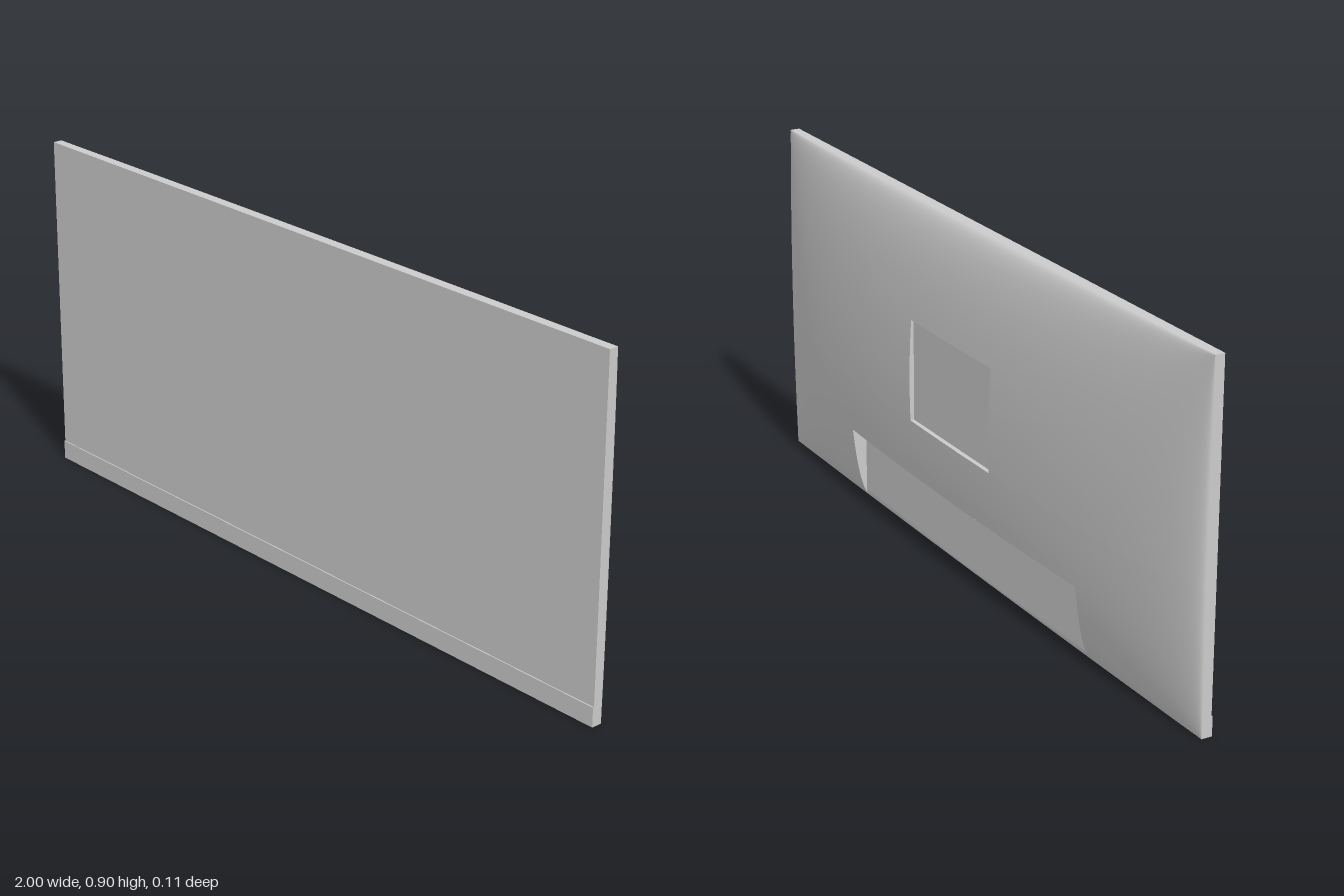
import * as THREE from 'three';

const W = 1, H = 0.45, BACK = 0.027, DEPTH = 0.079;
const bay = { x: 0.555, y0: 0, y1: 0.2, z: 0.012 };         // lower connector bay
const mount = { x: 0.195, y0: 0.355, y1: 0.62, z: -0.038 };  // mounting plate pocket

const grey = new THREE.MeshStandardMaterial({ color: 0xcccccc });
const shell = new THREE.MeshStandardMaterial({ color: 0xcccccc, side: THREE.DoubleSide });

// depth of the bulging back at a point
const arc = (t) => Math.pow(Math.max(0, 1 - t * t), 0.51);
const domeZ = (x, y) => BACK - DEPTH * arc(x / W) * arc((y - H) / H);

// sine-spaced coordinates (dense at the rim) with exact stops at the cutout edges
function stops(centre, half, count, fixed) {
  const list = [...fixed];
  for (let i = 0; i <= count; i++) {
    const v = centre + half * Math.sin((i / count - 0.5) * Math.PI);
    if (fixed.every((f) => Math.abs(f - v) > 0.006)) list.push(v);
  }
  return list.sort((a, b) => a - b);
}
const xs = stops(0, W, 64, [-bay.x, bay.x, -mount.x, mount.x]);
const ys = stops(H, H, 48, [bay.y1, mount.y0, mount.y1]);
const inside = (c, x, y) => Math.abs(x) < c.x && y > c.y0 && y < c.y1;

// rear-facing grid; keep(x, y) says which cells exist
function sheet(name, zAt, keep) {
  const pos = [], index = [], n = xs.length;
  ys.forEach((y) => xs.forEach((x) => pos.push(x, y, zAt(x, y))));
  for (let j = 0; j < ys.length - 1; j++) {
    for (let i = 0; i < n - 1; i++) {
      if (!keep((xs[i] + xs[i + 1]) / 2, (ys[j] + ys[j + 1]) / 2)) continue;
      const a = j * n + i, b = a + 1, c = a + n, d = c + 1;
      index.push(a, c, b, b, c, d);
    }
  }
  return surface(name, pos, index);
}

function surface(name, pos, index) {
  const g = new THREE.BufferGeometry();
  g.setAttribute('position', new THREE.Float32BufferAttribute(pos, 3));
  g.setIndex(index);
  g.computeVertexNormals();
  const mesh = new THREE.Mesh(g, shell);
  mesh.name = name;
  return mesh;
}

// wall strip joining the curved back to a cutout floor along a line of points
function wall(name, points, floorZ) {
  const pos = [], index = [];
  points.forEach(([x, y], i) => {
    const z = domeZ(x, y);
    pos.push(x, y, z, x, y, Math.max(z, floorZ));
    if (i) index.push(2 * i - 2, 2 * i - 1, 2 * i, 2 * i, 2 * i - 1, 2 * i + 1);
  });
  return surface(name, pos, index);
}

function cutout(name, c, closedBelow) {
  const group = new THREE.Group();
  group.name = name;
  group.add(sheet(name + 'Floor', (x, y) => Math.max(c.z, domeZ(x, y)), (x, y) => inside(c, x, y)));
  const cx = xs.filter((x) => Math.abs(x) <= c.x);
  const cy = ys.filter((y) => y >= c.y0 && y <= c.y1);
  for (const s of [-1, 1]) group.add(wall(name + 'Side', cy.map((y) => [s * c.x, y]), c.z));
  group.add(wall(name + 'Top', cx.map((x) => [x, c.y1]), c.z));
  if (closedBelow) group.add(wall(name + 'Bottom', cx.map((x) => [x, c.y0]), c.z));
  return group;
}

function box(name, w, h, d, x, y, z) {
  const mesh = new THREE.Mesh(new THREE.BoxGeometry(w, h, d), grey);
  mesh.position.set(x, y, z);
  mesh.name = name;
  return mesh;
}

export function createModel() {
  const model = new THREE.Group();
  model.name = 'displayPanel';

  // flat front slab and the slightly proud strip along its lower edge
  model.add(box('screenSlab', 2, 0.9, 0.025, 0, 0.45, 0.0395));
  model.add(box('chinStrip', 2, 0.05, 0.005, 0, 0.025, 0.0525));

  // curved back with its two cutouts
  model.add(sheet('backShell', domeZ, (x, y) => !inside(bay, x, y) && !inside(mount, x, y)));
  model.add(cutout('connectorBay', bay, false));
  model.add(cutout('mountPocket', mount, true));

  // control button under the bay ceiling, with rounded ends
  const pill = new THREE.Shape();
  pill.absarc(0.043, 0, 0.01, -Math.PI / 2, Math.PI / 2);
  pill.absarc(-0.043, 0, 0.01, Math.PI / 2, Math.PI * 1.5);
  const button = new THREE.Mesh(new THREE.ExtrudeGeometry(pill, { depth: 0.006, bevelEnabled: false }), grey);
  button.rotation.x = Math.PI / 2;
  button.position.set(-0.055, 0.201, -0.025);
  button.name = 'controlButton';
  model.add(button);

  return model;
}
